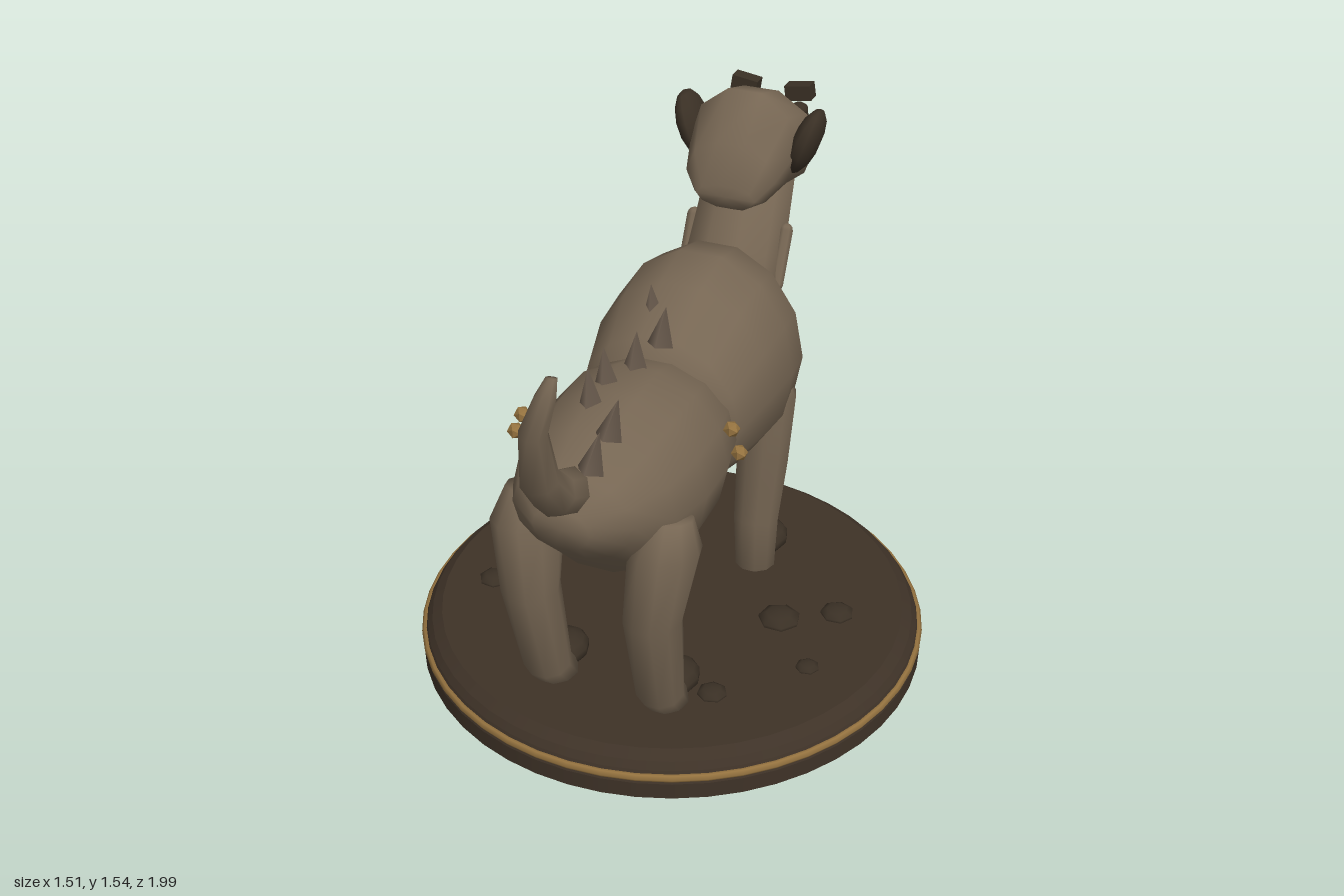
import * as THREE from 'three';

const mat = (name, color, side = THREE.FrontSide) => {
  const m = new THREE.MeshStandardMaterial({ color, side });
  m.name = name;
  return m;
};

// Skin a run of elliptical rings [x, y, z, a, b] whose path lies near the yz plane
function loft(rings, sides, fixedDir) {
  const pos = [], idx = [], n = rings.length;
  const c = rings.map(r => new THREE.Vector3(r[0], r[1], r[2]));
  const u = new THREE.Vector3(1, 0, 0);
  for (let i = 0; i < n; i++) {
    const t = fixedDir || c[Math.min(i + 1, n - 1)].clone().sub(c[Math.max(i - 1, 0)]);
    const v = t.clone().cross(u).normalize();
    for (let j = 0; j < sides; j++) {
      const a = (j / sides) * Math.PI * 2;
      const p = c[i].clone().addScaledVector(u, rings[i][3] * Math.cos(a)).addScaledVector(v, rings[i][4] * Math.sin(a));
      pos.push(p.x, p.y, p.z);
    }
  }
  const first = n * sides, last = first + 1;
  pos.push(...c[0].toArray(), ...c[n - 1].toArray());
  for (let j = 0; j < sides; j++) {
    const k = (j + 1) % sides, e = (n - 1) * sides;
    for (let i = 0; i < n - 1; i++) {
      const a = i * sides + j, b = i * sides + k;
      idx.push(a, b, b + sides, a, b + sides, a + sides);
    }
    idx.push(first, k, j, last, e + j, e + k);
  }
  const g = new THREE.BufferGeometry();
  g.setAttribute('position', new THREE.Float32BufferAttribute(pos, 3));
  g.setIndex(idx);
  g.computeVertexNormals();
  return g;
}

// Body volume from side-on sections [z, bottom, top, halfWidth]
const hull = (sections, sides) => loft(
  sections.map(([z, lo, hi, w]) => [0, (lo + hi) / 2, z, w, (hi - lo) / 2]),
  sides, new THREE.Vector3(0, 0, -1));

export function createModel() {
  const group = new THREE.Group();
  const fur = mat('brown fur', 0x766653);
  const dark = mat('dark brown', 0x3a3025);
  const stone = mat('base brown', 0x3e3227, THREE.DoubleSide);
  const gold = mat('gold', 0x94723f);
  const pale = mat('pale belly', 0xa09079);
  const ivory = mat('ivory', 0xc9bd9f);
  const spineMat = mat('spine brown', 0x65574a);

  const add = (name, geo, material, p = [0, 0, 0], s = [1, 1, 1], r = [0, 0, 0]) => {
    const m = new THREE.Mesh(geo, material);
    m.name = name;
    m.position.set(...p);
    m.scale.set(...s);
    m.rotation.set(...r);
    group.add(m);
    return m;
  };
  const ball = new THREE.SphereGeometry(1, 10, 7);

  // Round plinth, hollow underneath, in crisp bands
  const bands = [[0.75, 0], [0.75, 0.05], [0.735, 0.085], [0.72, 0.105], [0.69, 0.125], [0, 0.125]];
  for (let i = 0; i < bands.length - 1; i++) {
    const pts = [bands[i], bands[i + 1]].map(b => new THREE.Vector2(...b));
    add('plinth', new THREE.LatheGeometry(pts, 48), stone, [0, 0, 0.07]);
  }
  add('plinthTrim', new THREE.TorusGeometry(0.74, 0.013, 6, 48), gold, [0, 0.065, 0.07], [1, 1, 1], [Math.PI / 2, 0, 0]);

  // Pebbles [x, z, radius]
  const pebble = new THREE.SphereGeometry(1, 7, 5);
  [[-0.41, -0.07, 0.067], [-0.53, 0.2, 0.05], [0.34, 0.06, 0.065], [0.49, -0.03, 0.052], [0.49, 0.24, 0.036], [0.28, 0.45, 0.045]]
    .forEach(([x, z, r], i) => add('pebble', pebble, dark, [x, 0.125, z], [r, r * 0.45, r], [0, i, 0]));

  // Torso
  add('hindquarters', hull([
    [0.8, 0.78, 0.9, 0.08], [0.73, 0.71, 0.97, 0.17], [0.6, 0.58, 1.02, 0.235], [0.45, 0.52, 1.05, 0.26],
    [0.3, 0.53, 1.05, 0.262], [0.15, 0.58, 1.0, 0.23], [0, 0.65, 0.9, 0.15]], 14), fur);
  add('chest', hull([
    [0.23, 0.64, 0.98, 0.16], [0.16, 0.57, 1.06, 0.24], [0, 0.53, 1.15, 0.275], [-0.15, 0.5, 1.18, 0.285],
    [-0.28, 0.5, 1.15, 0.27], [-0.4, 0.59, 1.02, 0.22], [-0.49, 0.69, 0.91, 0.13], [-0.525, 0.76, 0.84, 0.05]], 14), fur);
  add('bellyPatch', ball, pale, [0, 0.59, -0.335], [0.165, 0.11, 0.135], [0.35, 0, 0]);

  // Neck and head
  add('neck', loft([[0, 0.84, -0.3, 0.18, 0.17], [0, 1.05, -0.43, 0.15, 0.145], [0, 1.28, -0.56, 0.135, 0.13]], 10), fur);
  add('head', hull([
    [-0.335, 1.23, 1.3, 0.09], [-0.37, 1.21, 1.42, 0.135], [-0.48, 1.2, 1.545, 0.165], [-0.62, 1.18, 1.5, 0.175],
    [-0.7, 1.2, 1.43, 0.16], [-0.735, 1.25, 1.39, 0.12]], 10), fur);
  add('snout', hull([[-0.69, 1.235, 1.41, 0.105], [-0.8, 1.225, 1.36, 0.083], [-0.93, 1.215, 1.295, 0.055]], 8), dark);
  add('nose', ball, dark, [0, 1.255, -0.952], [0.045, 0.045, 0.045]);

  // Paired parts
  const cone = new THREE.ConeGeometry(0.022, 0.12, 6);
  for (const s of [1, -1]) {
    add('ear', ball, dark, [s * 0.175, 1.39, -0.53], [0.04, 0.105, 0.085], [0, 0, -s * 0.35]);
    add('eye', ball, dark, [s * 0.085, 1.4, -0.72], [0.028, 0.022, 0.028]);
    add('brow', new THREE.BoxGeometry(0.08, 0.045, 0.045), dark, [s * 0.085, 1.457, -0.723], [1, 1, 1], [0, 0, s * 0.15]);
    add('fang', cone, ivory, [s * 0.04, 1.175, -0.845], [1, 1, 1], [Math.PI + 0.45, 0, 0]);
    add('neckRidge', new THREE.CapsuleGeometry(0.022, 0.16, 3, 8), fur, [s * 0.145, 1.06, -0.42], [1, 1, 1], [-0.48, 0, 0]);

    add('frontLeg', loft([
      [s * 0.18, 0.78, -0.21, 0.07, 0.06], [s * 0.185, 0.72, -0.215, 0.09, 0.085], [s * 0.18, 0.5, -0.205, 0.08, 0.08],
      [s * 0.17, 0.3, -0.19, 0.07, 0.07], [s * 0.17, 0.125, -0.19, 0.062, 0.062]].reverse(), 10), fur);
    add('hindLeg', loft([
      [s * 0.17, 0.125, 0.51, 0.062, 0.06], [s * 0.172, 0.2, 0.57, 0.07, 0.066], [s * 0.18, 0.5, 0.635, 0.082, 0.085],
      [s * 0.2, 0.7, 0.595, 0.095, 0.125], [s * 0.2, 0.785, 0.57, 0.065, 0.08]], 10), fur);
    for (const z of [-0.28, 0.455]) add('paw', ball, dark, [s * 0.172, 0.16, z], [0.068, 0.045, 0.08]);
  }

  // Tail
  add('tail', loft([
    [0, 0.91, 0.72, 0.065, 0.065], [0, 0.97, 0.83, 0.06, 0.06], [0, 1.06, 0.905, 0.053, 0.05],
    [0.02, 1.23, 0.965, 0.038, 0.036], [0.05, 1.33, 0.95, 0.028, 0.024], [0.06, 1.375, 0.935, 0.015, 0.014]], 8), fur);

  // Spines along the back [x, base height, z]
  const spine = new THREE.ConeGeometry(0.038, 0.11, 4);
  [[0.05, 1.0, 0.69], [0.055, 1.04, 0.585], [-0.06, 1.045, 0.48], [-0.06, 1.055, 0.38], [-0.015, 1.06, 0.28],
    [0.02, 1.09, 0.175], [-0.06, 1.085, 0.06]]
    .forEach(([x, y, z]) => add('spine', spine, spineMat, [x, y + 0.02, z], [1, 1, 1], [-0.25, 0, -x * 3]));

  // Gold studs on the flanks
  const stud = new THREE.IcosahedronGeometry(0.024, 0);
  [[0.262, 0.9, 0.28], [0.28, 0.82, 0.265], [-0.255, 0.945, 0.49], [-0.262, 0.91, 0.52]]
    .forEach(p => add('stud', stud, gold, p));

  return group;
}
